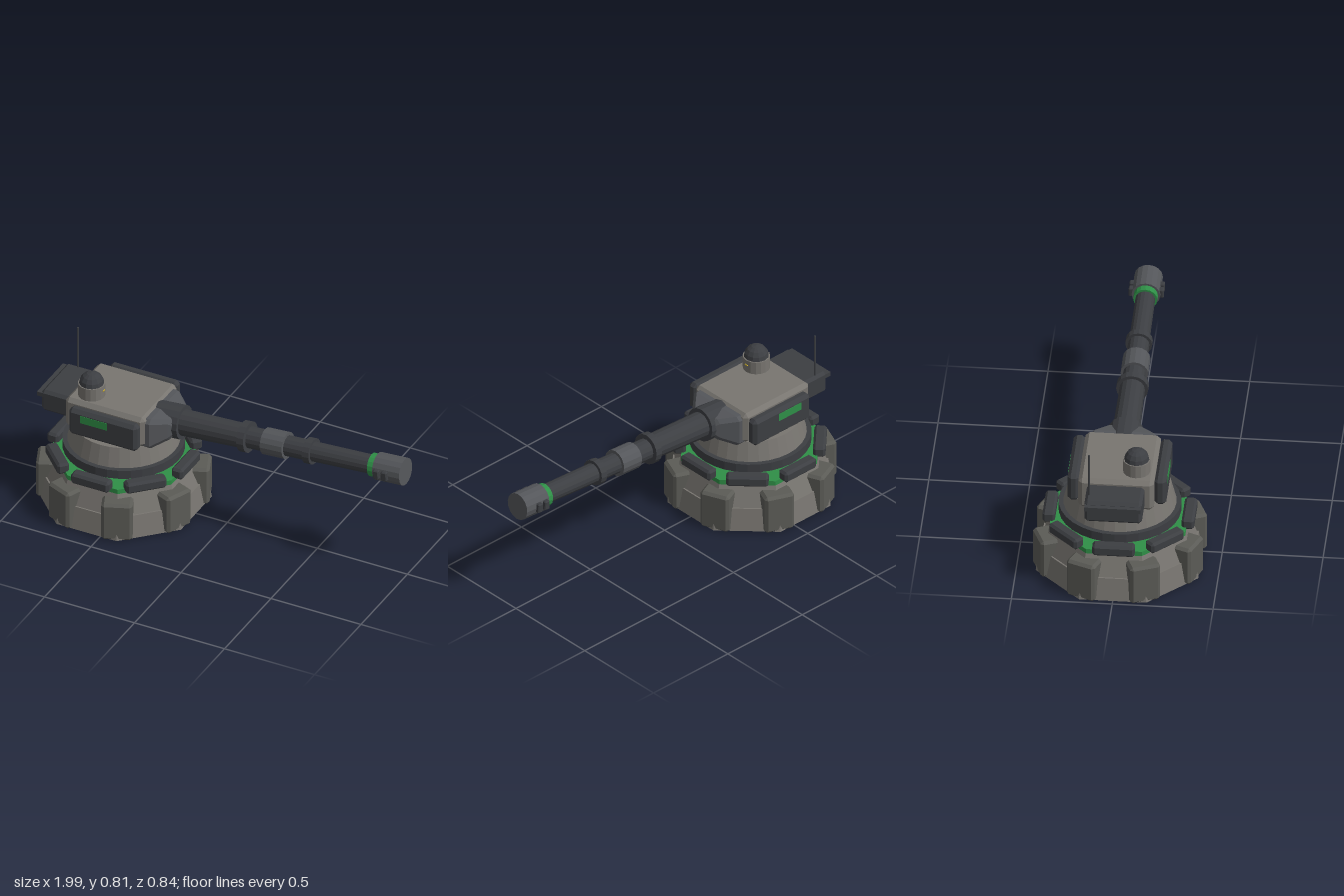
import * as THREE from 'three';
import { ConvexGeometry } from 'three/addons/geometries/ConvexGeometry.js';

const mat = (color) => new THREE.MeshStandardMaterial({ color, flatShading: true });
const stone = mat(0x787570), armour = mat(0x5b5b56), dark = mat(0x3c3e42);
const steel = mat(0x54565a), green = mat(0x2f8f47), yellow = mat(0xd8b82a);

function add(parent, name, geometry, material, x = 0, y = 0, z = 0) {
  const mesh = new THREE.Mesh(geometry, material);
  mesh.name = name;
  mesh.position.set(x, y, z);
  parent.add(mesh);
  return mesh;
}

// Box with every edge chamfered by c
function chamferBox(w, h, d, c) {
  const pts = [];
  for (const sx of [-1, 1]) for (const sy of [-1, 1]) for (const sz of [-1, 1]) {
    for (let k = 0; k < 3; k++) {
      pts.push(new THREE.Vector3(
        sx * (w / 2 - (k === 0 ? 0 : c)),
        sy * (h / 2 - (k === 1 ? 0 : c)),
        sz * (d / 2 - (k === 2 ? 0 : c))));
    }
  }
  return new ConvexGeometry(pts);
}

// Octagonal frustum with flats facing the axes, sized by apothem
function octagon(top, bottom, h) {
  const k = 1 / Math.cos(Math.PI / 8);
  return new THREE.CylinderGeometry(top * k, bottom * k, h, 8, 1, false, Math.PI / 8);
}

// Eight copies of a geometry around the vertical axis
function ringOf(parent, name, geometry, material, radius, y, offset) {
  for (let i = 0; i < 8; i++) {
    const a = offset + i * Math.PI / 4;
    const m = add(parent, name, geometry, material, radius * Math.cos(a), y, -radius * Math.sin(a));
    m.rotation.y = a;
  }
}

function buildBase() {
  const base = new THREE.Group();
  base.name = 'base';
  add(base, 'lowerPlinth', octagon(0.383, 0.403, 0.12), stone, 0, 0.063, 0);
  add(base, 'upperPlinth', octagon(0.335, 0.376, 0.115), stone, 0, 0.178, 0);
  add(base, 'glowPlate', octagon(0.336, 0.336, 0.025), green, 0, 0.247, 0);
  ringOf(base, 'buttress', chamferBox(0.16, 0.211, 0.155, 0.014), armour, 0.35, 0.1055, Math.PI / 8);
  ringOf(base, 'ringPad', chamferBox(0.062, 0.06, 0.21, 0.012), dark, 0.345, 0.275, 0);
  return base;
}

function buildTurret() {
  const turret = new THREE.Group();
  turret.name = 'turret';
  add(turret, 'bearing', new THREE.CylinderGeometry(0.1, 0.1, 0.04, 16), dark, 0, 0.273, 0);
  add(turret, 'turntable', new THREE.CylinderGeometry(0.304, 0.304, 0.047, 32), dark, 0, 0.309, 0);
  add(turret, 'turretCone', new THREE.CylinderGeometry(0.254, 0.28, 0.103, 32), stone, 0, 0.384, 0);
  add(turret, 'hull', chamferBox(0.44, 0.17, 0.375, 0.02), stone, -0.015, 0.518, 0);

  // Side armour with light strips
  for (const s of [-1, 1]) {
    add(turret, 'sidePanel', chamferBox(0.38, 0.152, 0.06, 0.018), dark, 0.004, 0.513, s * 0.215);
    add(turret, 'lightStrip', new THREE.BoxGeometry(0.15, 0.042, 0.008), green, -0.042, 0.546, s * 0.243);
  }

  // Rear bustle with ledge and aerial
  add(turret, 'bustle', chamferBox(0.18, 0.12, 0.285, 0.015), dark, -0.298, 0.515, 0);
  add(turret, 'bustleLedge', new THREE.BoxGeometry(0.05, 0.023, 0.28), dark, -0.386, 0.547, 0);
  add(turret, 'aerial', new THREE.CylinderGeometry(0.005, 0.005, 0.24, 6), dark, -0.32, 0.69, -0.125);

  // Sensor dome
  add(turret, 'sensorPedestal', new THREE.CylinderGeometry(0.068, 0.068, 0.075, 16), stone, -0.13, 0.635, 0.095);
  add(turret, 'sensorDome',
    new THREE.SphereGeometry(0.063, 12, 4, 0, Math.PI * 2, 0, Math.PI / 2), dark, -0.13, 0.67, 0.095);
  add(turret, 'sensorLamp', new THREE.BoxGeometry(0.006, 0.005, 0.018), yellow, -0.063, 0.645, 0.095);

  // Mantlet: rectangular sections narrowing towards the gun [x, yLow, yHigh, halfZ]
  const sections = [[0.17, 0.432, 0.58, 0.155], [0.185, 0.42, 0.59, 0.17], [0.225, 0.42, 0.59, 0.165],
    [0.295, 0.455, 0.575, 0.1], [0.315, 0.475, 0.56, 0.08]];
  const pts = [];
  for (const [x, lo, hi, hz] of sections) for (const s of [-1, 1]) {
    pts.push(new THREE.Vector3(x, lo, s * (hz - 0.02)), new THREE.Vector3(x, lo + 0.02, s * hz),
      new THREE.Vector3(x, hi - 0.02, s * hz), new THREE.Vector3(x, hi, s * (hz - 0.02)));
  }
  add(turret, 'mantlet', new ConvexGeometry(pts), steel);
  return turret;
}

function buildGun() {
  const gun = new THREE.Group();
  gun.name = 'gun';
  // [name, start, end, start radius, end radius, material] along the barrel
  const parts = [
    ['gunRoot', -0.5, -0.35, 0.088, 0.088, dark],
    ['breechTube', -0.36, 0.0, 0.068, 0.063, dark],
    ['rearCollar', -0.02, 0.018, 0.08, 0.08, dark],
    ['midTube', 0.01, 0.12, 0.056, 0.056, dark],
    ['sleeve', 0.105, 0.227, 0.069, 0.069, steel],
    ['foreTube', 0.22, 0.36, 0.053, 0.053, dark],
    ['foreCollar', 0.338, 0.375, 0.067, 0.067, dark],
    ['muzzleTube', 0.37, 0.72, 0.051, 0.049, dark],
    ['muzzleBand', 0.697, 0.735, 0.06, 0.06, green],
    ['muzzleBrake', 0.732, 0.882, 0.071, 0.071, steel],
  ];
  for (const [name, a, b, ra, rb, material] of parts) {
    const geo = new THREE.CylinderGeometry(rb, ra, b - a, 16).rotateZ(-Math.PI / 2);
    add(gun, name, geo, material, (a + b) / 2, 0, 0);
  }
  for (const s of [-1, 1]) for (const x of [0.758, 0.803]) {
    add(gun, 'muzzleVent', chamferBox(0.032, 0.05, 0.04, 0.005), dark, x, 0, s * 0.067);
  }
  gun.position.set(0.11, 0.545, 0);
  gun.rotation.z = THREE.MathUtils.degToRad(4);
  return gun;
}

export function createModel() {
  const model = new THREE.Group();
  model.name = 'gunTurret';
  const base = buildBase(), turret = buildTurret();
  base.position.x = turret.position.x = -0.575;
  model.add(base, turret, buildGun());
  return model;
}
